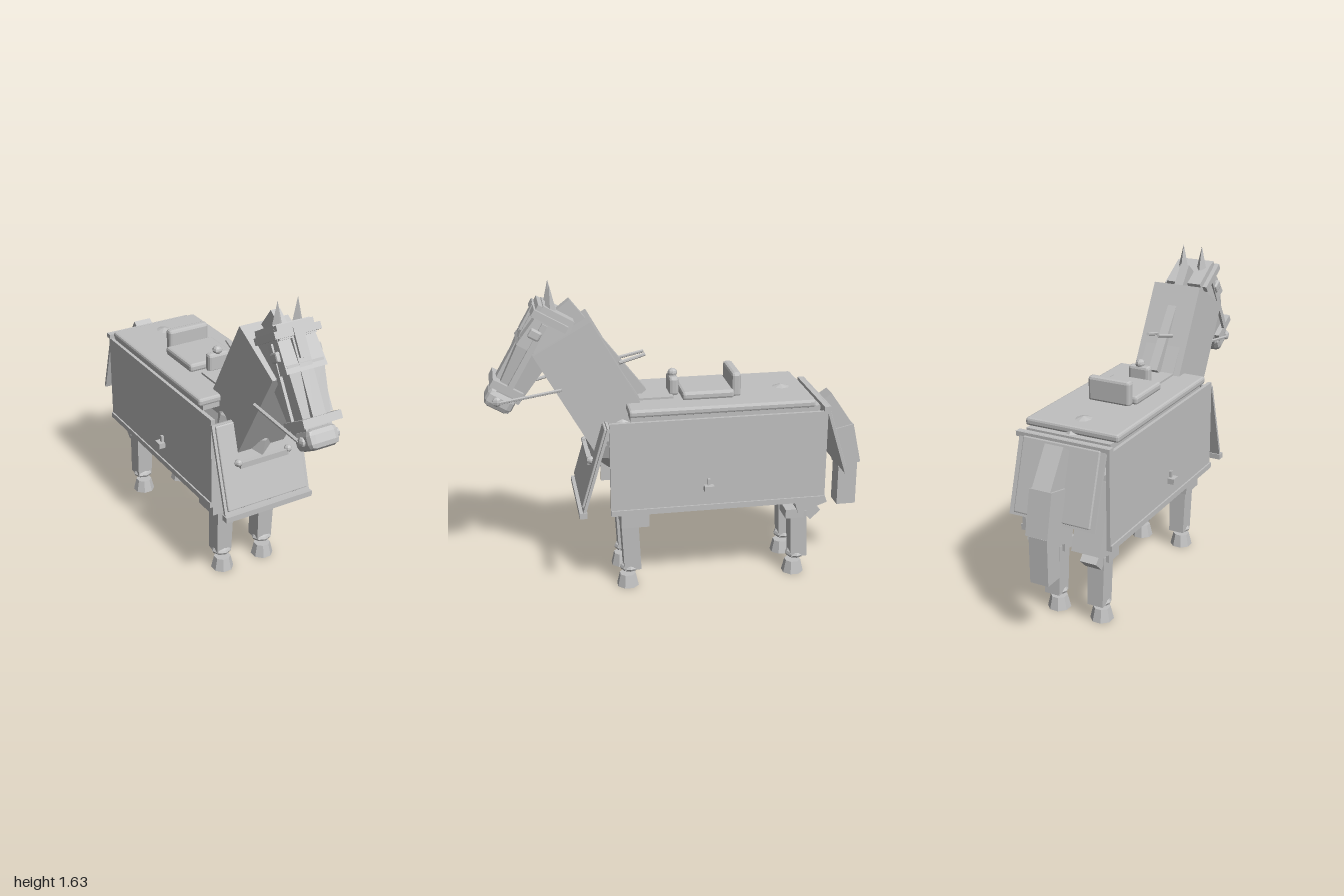
import * as THREE from 'three';
import { RoundedBoxGeometry } from 'three/addons/geometries/RoundedBoxGeometry.js';

export function createModel() {
  const root = new THREE.Group();
  root.name = 'armouredHorse';
  const grey = new THREE.MeshStandardMaterial({ name: 'grey', color: 0xc0c0c0, flatShading: true });

  function add(name, geo, x, y, z, rx = 0, ry = 0) {
    const m = new THREE.Mesh(geo, grey);
    m.name = name;
    m.position.set(x, y, z);
    m.rotation.set(rx, ry, 0);
    root.add(m);
    return m;
  }
  const box = (name, w, h, d, x, y, z, rx = 0) => add(name, new THREE.BoxGeometry(w, h, d), x, y, z, rx);
  const soft = (name, w, h, d, x, y, z, rx = 0) =>
    add(name, new RoundedBoxGeometry(w, h, d, 1, Math.min(w, h, d) * 0.3), x, y, z, rx);
  const ball = (name, rx, ry, rz, x, y, z, seg = 8) =>
    add(name, new THREE.SphereGeometry(1, seg, 6).scale(rx, ry, rz), x, y, z);
  // box whose ends and front narrow: top and bottom widths and depths
  function taper(name, wt, dt, wb, db, h, x, y, z, rx = 0) {
    const g = new THREE.BoxGeometry(1, h, 1);
    const p = g.attributes.position;
    for (let i = 0; i < p.count; i++) {
      const top = p.getY(i) > 0;
      p.setX(i, p.getX(i) * (top ? wt : wb));
      p.setZ(i, p.getZ(i) * (top ? dt : db));
    }
    g.computeVertexNormals();
    return add(name, g, x, y, z, rx);
  }
  function rod(name, a, b, r) {
    const A = new THREE.Vector3(...a), B = new THREE.Vector3(...b);
    const m = add(name, new THREE.CylinderGeometry(r, r, A.distanceTo(B), 6), 0, 0, 0);
    m.position.copy(A).add(B).multiplyScalar(0.5);
    m.quaternion.setFromUnitVectors(new THREE.Vector3(0, 1, 0), B.sub(A).normalize());
  }

  // body under the armour
  add('barrel', new THREE.CylinderGeometry(0.19, 0.19, 0.9, 8).rotateX(Math.PI / 2), 0, 0.78, -0.13);
  ball('chest', 0.17, 0.2, 0.185, 0, 0.83, 0.3);
  ball('rump', 0.2, 0.24, 0.235, 0, 0.8, -0.56);

  // neck and mane
  box('neck', 0.27, 0.6, 0.33, 0, 1.115, 0.445, 0.51);
  box('neckCrest', 0.2, 0.5, 0.06, 0, 1.15, 0.31, 0.55);
  box('mane', 0.05, 0.62, 0.09, 0, 1.275, 0.385, 0.66);

  // head: boxes along a slanted axis
  const tilt = -0.53;
  taper('skull', 0.2, 0.17, 0.22, 0.23, 0.23, 0, 1.395, 0.655, tilt);
  taper('muzzle', 0.2, 0.19, 0.14, 0.13, 0.32, 0, 1.2, 0.79, tilt);
  soft('nose', 0.165, 0.1, 0.15, 0, 1.05, 0.905, tilt);
  box('facePlate', 0.07, 0.42, 0.025, 0, 1.32, 0.815, tilt);
  box('noseBand', 0.21, 0.04, 0.17, 0, 1.12, 0.87, tilt);
  box('browBand', 0.25, 0.035, 0.19, 0, 1.465, 0.645, tilt);
  box('browPlate', 0.2, 0.07, 0.1, 0, 1.49, 0.67, tilt);
  box('foreheadCrest', 0.05, 0.14, 0.04, 0, 1.46, 0.74, tilt);
  for (const s of [-1, 1]) {
    add('ear', new THREE.ConeGeometry(0.03, 0.13, 4), s * 0.055, 1.57, 0.638);
    box('cheekStrap', 0.015, 0.36, 0.03, s * 0.107, 1.29, 0.76, tilt);
    soft('eyeGuard', 0.03, 0.05, 0.06, s * 0.11, 1.4, 0.72, tilt);
    ball('bitRing', 0.015, 0.025, 0.025, s * 0.095, 1.06, 0.92, 6);
    rod('rein', [s * 0.095, 1.05, 0.93], [s * 0.145, 1.12, 0.6], 0.009);
    rod('reinEnd', [s * 0.045, 1.215, 0.3], [s * 0.03, 1.25, 0.165], 0.009);
  }

  // side armour
  for (const s of [-1, 1]) {
    box('sidePanel', 0.02, 0.5, 1.13, s * 0.237, 0.71, -0.185);
    box('sideTrim', 0.025, 0.03, 1.13, s * 0.243, 0.475, -0.185);
    box('stirrupMount', 0.035, 0.03, 0.05, s * 0.267, 0.587, -0.125);
    box('stirrupPost', 0.015, 0.04, 0.015, s * 0.255, 0.615, -0.125);
  }

  // chest armour
  box('chestPanel', 0.5, 0.47, 0.015, 0, 0.71, 0.45, -0.29);
  soft('chestPlate', 0.47, 0.44, 0.02, 0, 0.72, 0.456, -0.29);
  box('chestTrim', 0.51, 0.03, 0.04, 0, 0.475, 0.522);
  box('chestBar', 0.28, 0.03, 0.03, 0, 0.725, 0.47);
  for (const s of [-1, 1]) ball('chestBarKnob', 0.022, 0.02, 0.022, s * 0.145, 0.738, 0.47, 6);

  // rear armour
  box('rearPanel', 0.47, 0.4, 0.015, 0, 0.795, -0.808, 0.3);
  soft('rearPlate', 0.42, 0.37, 0.02, 0, 0.795, -0.814, 0.3);
  box('rearTopBar', 0.51, 0.025, 0.035, 0, 0.975, -0.745);

  // back plate and saddle
  box('backUnderlay', 0.46, 0.03, 0.98, 0, 0.975, -0.22);
  soft('backPlate', 0.51, 0.04, 0.96, 0, 1.007, -0.2);
  box('withersPlate', 0.2, 0.015, 0.28, 0, 1.03, 0.17);
  soft('seat', 0.28, 0.045, 0.27, 0, 1.045, -0.145);
  soft('seatBack', 0.235, 0.13, 0.05, 0, 1.085, -0.295);
  soft('pommel', 0.12, 0.1, 0.05, 0, 1.075, 0.02);
  ball('pommelKnob', 0.026, 0.024, 0.026, 0, 1.135, 0.02);

  // tail
  box('tailTop', 0.1, 0.23, 0.13, 0, 0.855, -0.84, 0.6);
  box('tailMiddle', 0.12, 0.225, 0.125, 0, 0.685, -0.92, 0.22);
  box('tailTip', 0.1, 0.24, 0.105, 0, 0.46, -0.94);

  // legs
  const leg = (s, z) => {
    const x = s * 0.125;
    taper('shank', 0.095, 0.09, 0.085, 0.09, 0.27, x, 0.235, z - 0.017, -0.05 * -1);
    ball('fetlock', 0.055, 0.026, 0.052, x, 0.107, z - 0.01);
    add('hoof', new THREE.CylinderGeometry(0.044, 0.06, 0.068, 8), x, 0.034, z, 0, Math.PI / 8);
  };
  for (const s of [-1, 1]) {
    leg(s, 0.285);
    box('frontThigh', 0.155, 0.3, 0.145, s * 0.125, 0.515, 0.25);
    leg(s, -0.625);
    box('rearThigh', 0.155, 0.36, 0.165, s * 0.125, 0.575, -0.645, 0.32);
    box('hock', 0.09, 0.14, 0.075, s * 0.125, 0.395, -0.68, -0.8 + Math.PI / 2);
    box('knee', 0.125, 0.05, 0.1, s * 0.125, 0.367, -0.61);
  }
  return root;
}
